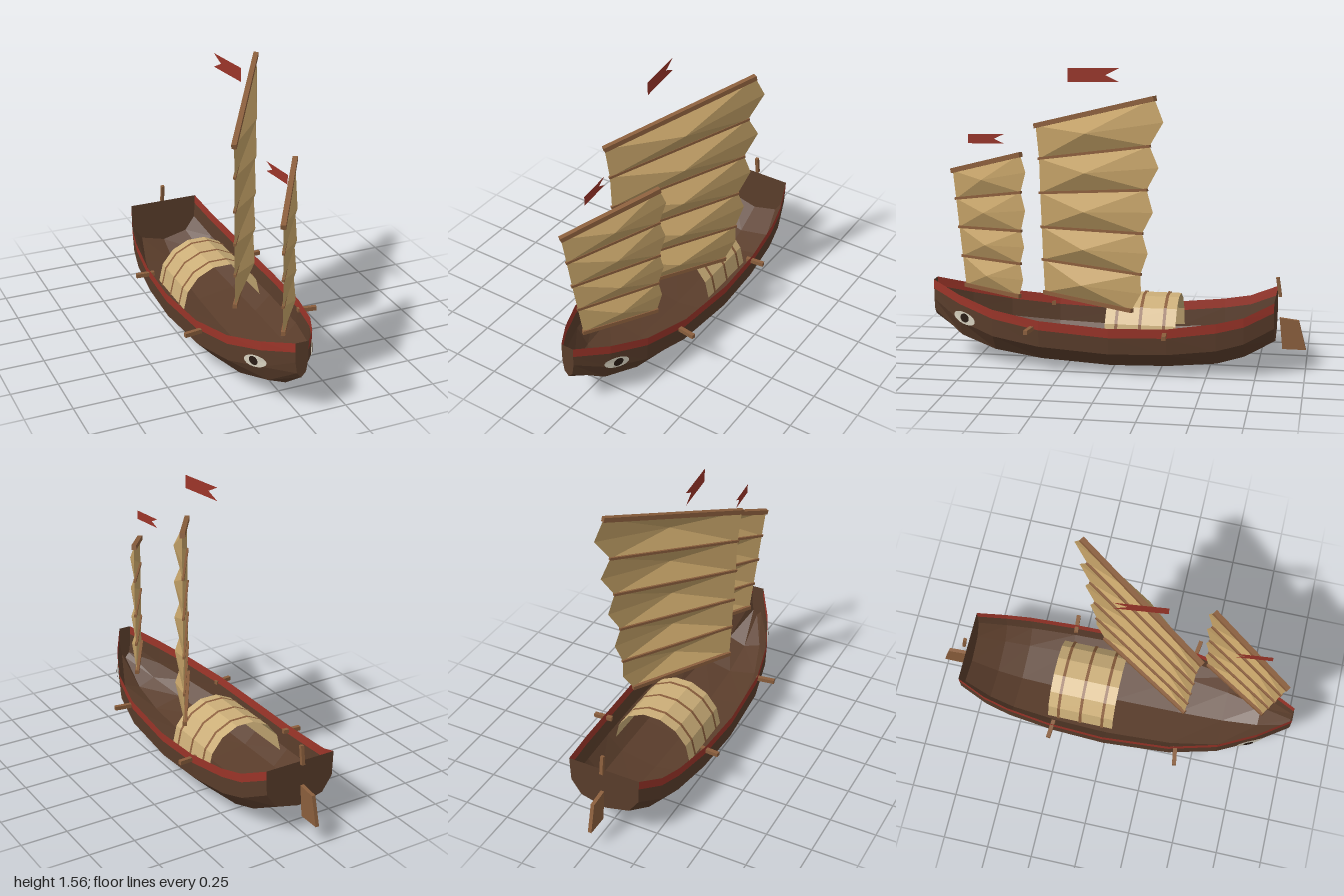
import * as THREE from 'three';
import { mergeGeometries } from 'three/addons/utils/BufferGeometryUtils.js';

const mat = (name, color) => {
  const m = new THREE.MeshStandardMaterial({ color, side: THREE.DoubleSide });
  m.name = name;
  return m;
};
const V = (x, y, z) => new THREE.Vector3(x, y, z);

// Flat-shaded surface from convex polygons given as lists of points
function facets(polys) {
  const pts = [];
  for (const p of polys)
    for (let i = 1; i < p.length - 1; i++) pts.push(p[0], p[i], p[i + 1]);
  const g = new THREE.BufferGeometry().setFromPoints(pts);
  g.computeVertexNormals();
  return g;
}

// Square bar between two points
function bar(a, b, w, h = w) {
  const d = b.clone().sub(a);
  const g = new THREE.BoxGeometry(w, h, d.length());
  const m = new THREE.Matrix4().lookAt(b, a, Math.abs(d.y) > 0.9 * d.length() ? V(0, 0, 1) : V(0, 1, 0));
  return g.applyMatrix4(m.setPosition(a.clone().add(b).multiplyScalar(0.5)));
}

// Hull stations: z, half beam, sheer height, keel height
const STATIONS = [
  [1, 0.035, 0.42, 0.225], [0.83, 0.14, 0.365, 0.1], [0.63, 0.23, 0.315, 0.045],
  [0.37, 0.29, 0.28, 0.02], [0, 0.312, 0.26, 0.005], [-0.3, 0.302, 0.268, 0.012],
  [-0.55, 0.277, 0.3, 0.03], [-0.69, 0.25, 0.33, 0.07], [-0.84, 0.2, 0.4, 0.15],
];
// Half section from sheer to keel
const section = ([z, b, top, keel]) => {
  const h = top - keel;
  return [V(b, top, z), V(b * 0.99, top - 0.05, z), V(b * 0.97, keel + h * 0.46, z),
    V(b * 0.69, keel + h * 0.14, z), V(0, keel, z)];
};
const flip = (p) => V(-p.x, p.y, p.z);

// Half width of the hull surface at a given z and y
function hullX(z, y) {
  let i = 0;
  while (i < STATIONS.length - 2 && STATIONS[i + 1][0] > z) i++;
  const t = (STATIONS[i][0] - z) / (STATIONS[i][0] - STATIONS[i + 1][0]);
  const s = section(STATIONS[i].map((v, k) => v + (STATIONS[i + 1][k] - v) * t));
  let j = 0;
  while (j < 3 && s[j + 1].y > y) j++;
  return s[j].x + ((s[j + 1].x - s[j].x) * (s[j].y - y)) / (s[j].y - s[j + 1].y);
}

export function createModel() {
  const wood = mat('dark hull wood', 0x5a3d2b);
  const red = mat('red paint', 0x9c3529);
  const canvas = mat('tan sailcloth', 0xc2a066);
  const spar = mat('spar wood', 0x8a5e3c);
  const thatch = mat('woven roof', 0xcbae78);
  const white = mat('eye white', 0xd8d2c0);
  const pupil = mat('eye pupil', 0x2a1d16);

  const model = new THREE.Group();
  model.name = 'sailingBoat';
  const add = (name, geometry, material, parent = model) => {
    const m = new THREE.Mesh(geometry, material);
    m.name = name;
    parent.add(m);
    return m;
  };

  // Open hull with a red band along the sheer
  const rings = STATIONS.map(section);
  const planks = [], band = [];
  for (let i = 0; i < rings.length - 1; i++)
    for (let j = 0; j < 4; j++) {
      const q = [rings[i][j], rings[i][j + 1], rings[i + 1][j + 1], rings[i + 1][j]];
      (j === 0 ? band : planks).push(q, q.map(flip).reverse());
    }
  const cap = (r) => [...r, ...r.slice(0, 4).reverse().map(flip)];
  planks.push(cap(rings[0]).reverse(), cap(rings[rings.length - 1]));
  add('hull', facets(planks), wood);
  add('sheerBand', facets(band), red);

  // Painted bow eyes that follow the hull surface
  const disc = (side, z, y, a, b, lift) => {
    const g = new THREE.CircleGeometry(1, 20).toNonIndexed();
    const p = g.attributes.position, c = Math.cos(0.26), s = Math.sin(0.26);
    for (let i = 0; i < p.count; i++) {
      const u = p.getX(i) * a, v = p.getY(i) * b;
      const pz = z + u * c - v * s, py = y + u * s + v * c;
      p.setXYZ(i, side * (hullX(pz, py) + lift), py, pz);
    }
    g.computeVertexNormals();
    return g;
  };
  for (const side of [-1, 1]) {
    const label = side > 0 ? 'left' : 'right';
    add(label + 'EyeWhite', disc(side, 0.8, 0.243, 0.066, 0.033, 0.007), white);
    add(label + 'EyePupil', disc(side, 0.797, 0.246, 0.026, 0.024, 0.012), pupil);
    // Oar pegs
    for (const [z, dz] of [[0.405, 0.015], [-0.288, -0.008]])
      add(label + 'OarPeg', bar(V(side * 0.27, 0.237, z), V(side * 0.372, 0.237, z + dz), 0.022), spar);
  }

  // Arched cabin roof with ribs
  const arch = (r, z) => Array.from({ length: 8 }, (_, i) => {
    const a = (i * Math.PI) / 7;
    return V(r * Math.cos(a), 0.16 + r * Math.sin(a), z);
  });
  const tunnel = (r, z0, z1) => {
    const a = arch(r, z0), b = arch(r, z1);
    return facets(a.slice(1).map((p, i) => [a[i], b[i], b[i + 1], p].reverse()));
  };
  add('cabinRoof', tunnel(0.223, -0.335, 0.035), thatch);
  for (const z of [-0.275, -0.15, -0.025])
    add('roofRib', tunnel(0.229, z - 0.008, z + 0.008), spar);

  // Battened sails. Rows: luff z, luff y, leech z, leech y; tips: leech points between battens
  const SLOPE = 0.62;
  const makeSail = (name, mastZ, rows, tips, belly) => {
    const group = new THREE.Group();
    group.name = name;
    model.add(group);
    const at = (z, y) => V((mastZ - z) * SLOPE, y, z);
    const out = V(0.85, 0, 0.527).multiplyScalar(belly);
    const panels = [];
    for (let i = 0; i < tips.length; i++) {
      const [a, b, c, d] = rows[i], [e, f, g, h] = rows[i + 1];
      const A = at(a, b), B = at(c, d), C = at(g, h), D = at(e, f), T = at(...tips[i]);
      const M = A.clone().add(B).add(C).add(D).multiplyScalar(0.25).add(out);
      const loop = [A, D, C, T, B];
      loop.forEach((p, k) => panels.push([M, p, loop[(k + 1) % 5]]));
    }
    add(name + 'Cloth', facets(panels), canvas, group);
    rows.forEach(([a, b, c, d], i) => {
      const w = i === 0 ? 0.026 : i === rows.length - 1 ? 0.022 : 0.014;
      add(i === 0 ? 'yard' : i === rows.length - 1 ? 'boom' : 'batten',
        bar(at(a + 0.004, b), at(c - 0.004, d), w), spar, group);
    });
  };
  makeSail('mainSail', 0.265, [
    [0.465, 1.245, -0.235, 1.445], [0.445, 1.07, -0.21, 1.205], [0.44, 0.885, -0.195, 0.982],
    [0.432, 0.7, -0.17, 0.755], [0.425, 0.522, -0.162, 0.542], [0.415, 0.342, -0.11, 0.342],
  ], [[-0.285, 1.33], [-0.26, 1.1], [-0.23, 0.87], [-0.202, 0.655], [-0.165, 0.44]], 0.06);
  makeSail('foreSail', 0.8, [
    [0.912, 1.0, 0.475, 1.135], [0.893, 0.85, 0.475, 0.938], [0.875, 0.698, 0.475, 0.735],
    [0.855, 0.542, 0.482, 0.56], [0.835, 0.385, 0.49, 0.385],
  ], [[0.443, 1.045], [0.447, 0.845], [0.456, 0.65], [0.465, 0.475]], 0.04);

  // Swallow-tailed pennants
  const pennant = (name, z, y, len, h, drift) => {
    const p = (t, v) => V(-drift * t, y + v * h, z - len * t);
    add(name, facets([[p(0, 0), p(0.73, 0.5), p(0, 1)],
      [p(0, 0), p(1, 0), p(0.73, 0.5)], [p(0, 1), p(0.73, 0.5), p(1, 1)]]), red);
  };
  pennant('mainPennant', 0.265, 1.493, 0.268, 0.072, 0.03);
  pennant('forePennant', 0.805, 1.16, 0.19, 0.05, 0.02);

  // Rudder blade and tiller
  const blade = new THREE.Shape([[0.86, 0.277], [0.96, 0.265], [1.0, 0.11], [0.877, 0.11]]
    .map(([u, v]) => new THREE.Vector2(u, v)));
  add('rudderBlade', new THREE.ExtrudeGeometry(blade, { depth: 0.02, bevelEnabled: false })
    .translate(0, 0, -0.01).rotateY(Math.PI / 2), spar);
  add('tiller', mergeGeometries([bar(V(0, 0.39, -0.861), V(0, 0.492, -0.846), 0.018)]), spar);

  return model;
}
